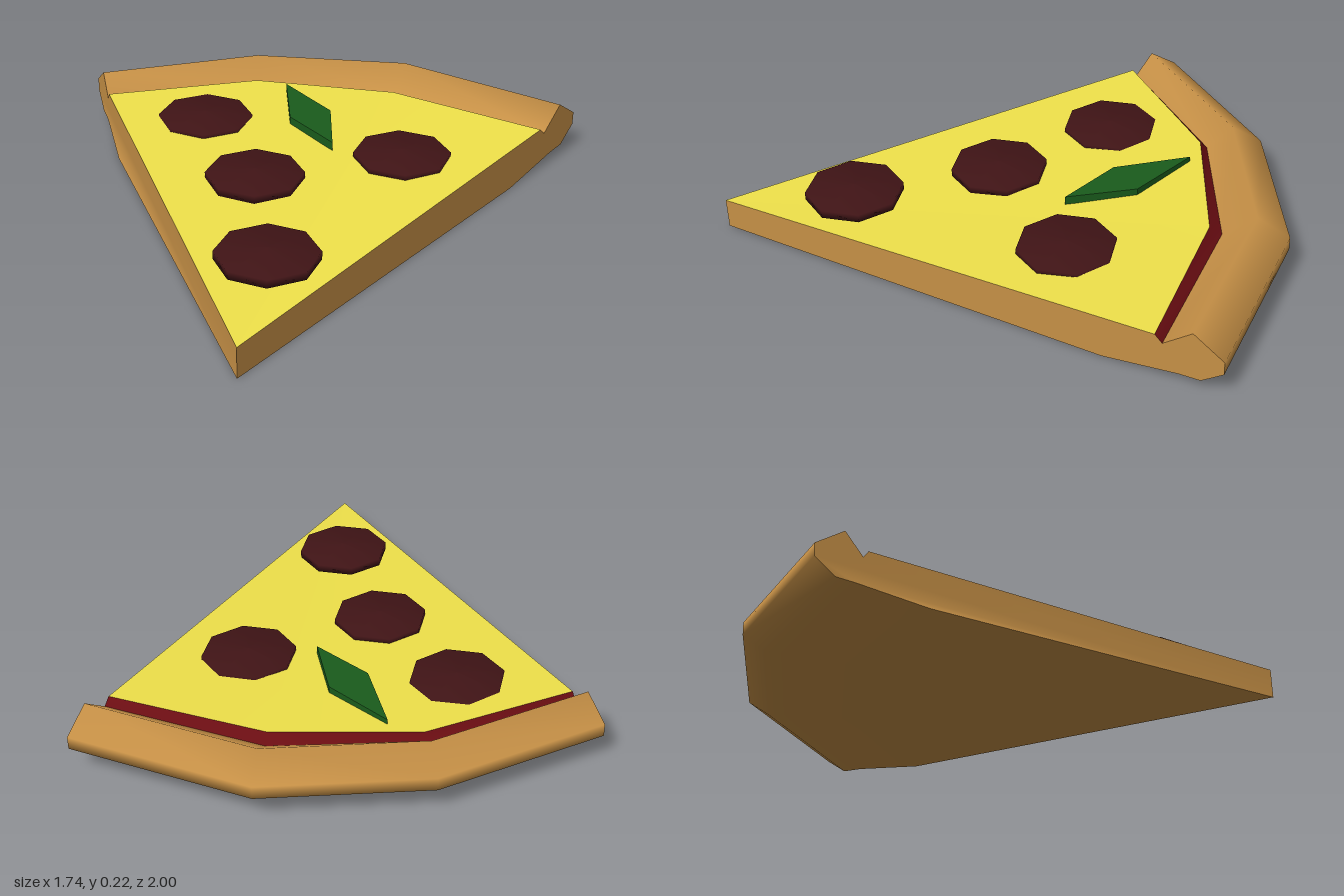
import * as THREE from 'three';

const TIP = [0.87, 0.995];
// Outer crust corners, with the ray fractions where cheese ends and crust begins
const RAYS = [
  { x: -0.87, z: 0.12, cheese: 0.897, dip: 0.907 },
  { x: -0.54, z: -0.47, cheese: 0.882, dip: 0.895 },
  { x: -0.04, z: -0.86, cheese: 0.862, dip: 0.884 },
  { x: 0.67, z: -1.0, cheese: 0.876, dip: 0.89 },
];

// Profiles run outward over the top, as [fraction along ray, height]
const cheeseProfile = (r) => [[0, 0.115], [r.cheese, 0.17]];
const sauceProfile = (r) => [[r.cheese, 0.17], [r.dip, 0.143]];
const crustProfile = (r) => [
  [r.dip, 0.143], [0.943, 0.225], [1, 0.15], [1, 0.1],
  [0.96, 0.042], [0.92, 0.038], [0.78, 0], [0, 0],
];

function place(ray, [f, y]) {
  // The base flares slightly along one cut side
  const flare = ray === RAYS[0] && y === 0 && f > 0 ? 0.02 : 0;
  return [
    TIP[0] + (ray.x - TIP[0]) * f - flare * 0.45,
    y,
    TIP[1] + (ray.z - TIP[1]) * f + flare * 0.9,
  ];
}

function makeGeometry(positions, index) {
  const g = new THREE.BufferGeometry();
  g.setAttribute('position', new THREE.Float32BufferAttribute(positions, 3));
  g.setIndex(index);
  g.computeVertexNormals();
  return g;
}

// Joins one profile per ray into a surface
function sweep(profile) {
  const positions = [], index = [];
  const n = profile(RAYS[0]).length;
  RAYS.forEach((ray, i) => {
    profile(ray).forEach((p) => positions.push(...place(ray, p)));
    if (i === RAYS.length - 1) return;
    for (let j = 0; j < n - 1; j++) {
      const a = i * n + j, b = a + n;
      index.push(a, b, a + 1, b, b + 1, a + 1);
    }
  });
  return makeGeometry(positions, index);
}

// Flat cut side of the slice
function cutSide(ray, flip) {
  const outline = [...crustProfile(ray).reverse(), ...cheeseProfile(ray).reverse()];
  const faces = THREE.ShapeUtils.triangulateShape(outline.map((p) => new THREE.Vector2(...p)), []);
  const index = faces.flatMap(([a, b, c]) => (flip ? [a, c, b] : [a, b, c]));
  return makeGeometry(outline.flatMap((p) => place(ray, p)), index);
}

export function createModel() {
  const model = new THREE.Group();
  model.name = 'pizzaSlice';
  const mat = (color) => new THREE.MeshStandardMaterial({ color });
  const dough = mat(0xc69046), cheese = mat(0xf0e24a), sauce = mat(0x6a0d12);
  const meat = mat(0x401416), green = mat(0x1a5c1c);

  function add(name, geometry, material) {
    const mesh = new THREE.Mesh(geometry, material);
    mesh.name = name;
    model.add(mesh);
    return mesh;
  }

  // Base and layers
  add('crustAndBase', sweep(crustProfile), dough);
  add('rightCutSide', cutSide(RAYS[0], true), dough);
  add('leftCutSide', cutSide(RAYS[3], false), dough);
  add('cheese', sweep(cheeseProfile), cheese);
  add('sauce', sweep(sauceProfile), sauce);

  // Slightly domed eight-sided sausage slices
  const disc = new THREE.LatheGeometry(
    [[0, 0.14], [0.18, 0.14], [0.18, 0.17], [0, 0.186]].map((p) => new THREE.Vector2(...p)), 8);
  for (const [x, z] of [[0.45, -0.24], [-0.29, 0.06], [0.18, 0.25], [0.6, 0.6]]) {
    add('pepperoni', disc, meat).position.set(x, 0, z);
  }

  // Diamond leaf, drawn in plan and laid flat
  const leaf = new THREE.Shape(
    [[-0.24, 0.33], [-0.02, 0.13], [0.24, 0.09], [0.05, 0.28]].map((p) => new THREE.Vector2(...p)));
  const leafGeometry = new THREE.ExtrudeGeometry(leaf, { depth: 0.033, bevelEnabled: false });
  leafGeometry.rotateX(-Math.PI / 2).translate(0, 0.155, 0);
  add('basilLeaf', leafGeometry, green);

  return model;
}
